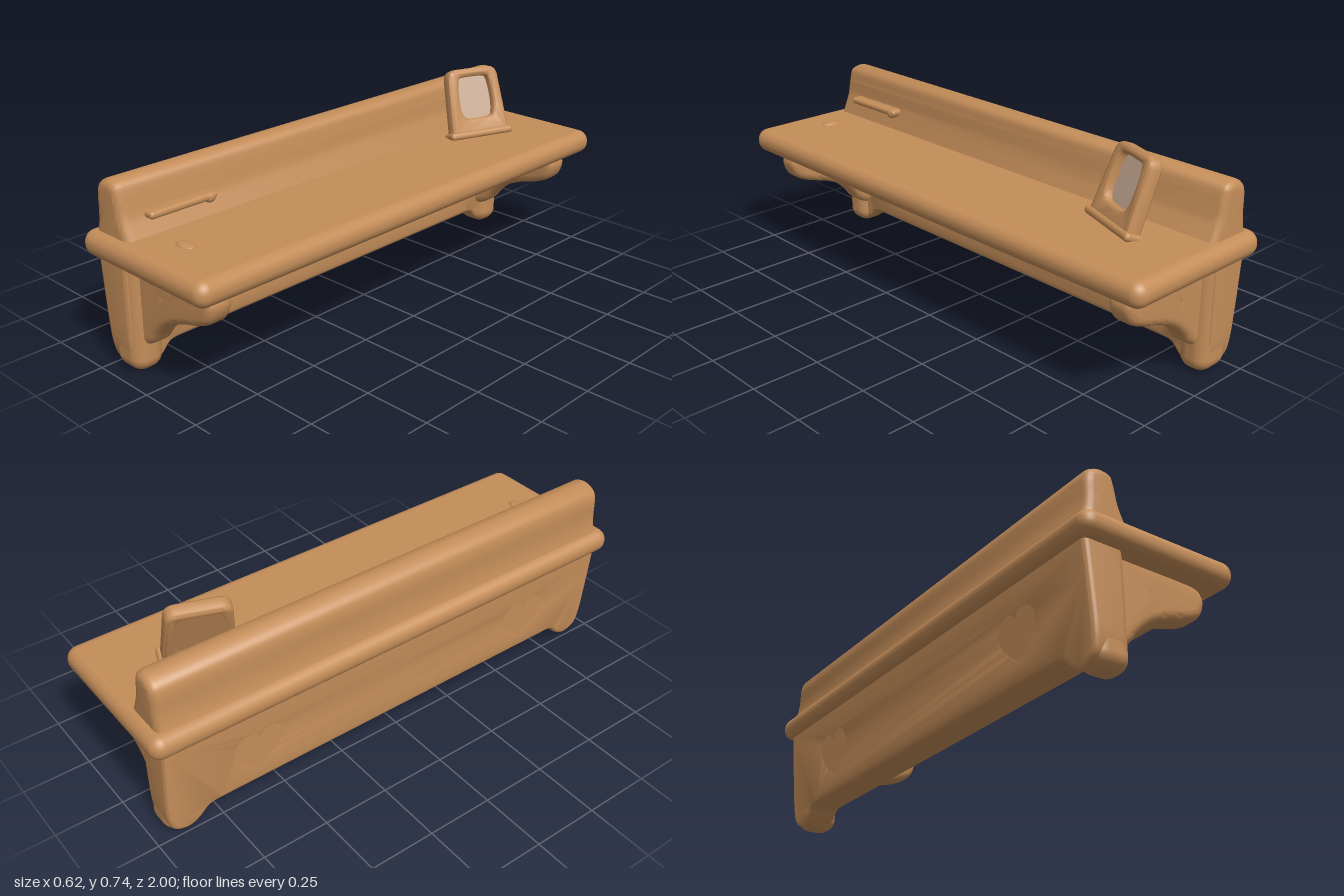
import * as THREE from 'three';
import { toCreasedNormals } from 'three/addons/utils/BufferGeometryUtils.js';
import { RoundedBoxGeometry } from 'three/addons/geometries/RoundedBoxGeometry.js';

const wood = new THREE.MeshStandardMaterial({ color: 0xc48d59 });
wood.name = 'wood';
const pane = new THREE.MeshStandardMaterial({ color: 0xc9aa92 });
pane.name = 'pale pane';

const smoothPath = (pts) =>
  new THREE.SplineCurve(pts.map(([x, y]) => new THREE.Vector2(x, y))).getPoints(pts.length * 4);

// Extrusion centred on its depth, with soft bevels kept inside the outline
function softExtrude(shape, depth, bevel) {
  const geo = new THREE.ExtrudeGeometry(shape, {
    depth: depth - 2 * bevel, bevelThickness: bevel, bevelSize: bevel,
    bevelOffset: -bevel, bevelSegments: 5, curveSegments: 10,
  });
  geo.translate(0, 0, bevel - depth / 2);
  return toCreasedNormals(geo, 0.75);
}

// The rear of the back board slopes forward towards the feet
function slopeRear(geo) {
  const p = geo.attributes.position;
  for (let i = 0; i < p.count; i++) {
    if (p.getX(i) < -0.2) p.setX(i, p.getX(i) + (0.4 - p.getY(i)) * 0.085);
  }
  return geo;
}

function heartPath(cx) {
  const h = new THREE.Path();
  h.moveTo(cx, 0.152);
  h.bezierCurveTo(cx + 0.03, 0.18, cx + 0.085, 0.215, cx + 0.082, 0.255);
  h.bezierCurveTo(cx + 0.078, 0.305, cx + 0.02, 0.305, cx, 0.265);
  h.bezierCurveTo(cx - 0.02, 0.305, cx - 0.078, 0.305, cx - 0.082, 0.255);
  h.bezierCurveTo(cx - 0.085, 0.215, cx - 0.03, 0.18, cx, 0.152);
  return h;
}

export function createModel() {
  const root = new THREE.Group();
  root.name = 'wallShelf';
  const add = (name, geo, parent = root, mat = wood) => {
    const m = new THREE.Mesh(geo, mat);
    m.name = name;
    parent.add(m);
    return m;
  };
  const box = (w, h, d, r) => new RoundedBoxGeometry(w, h, d, 5, r);

  // Shelf top
  add('shelfTop', box(0.62, 0.092, 2, 0.044)).position.y = 0.441;

  // Raised rail along the back
  const rail = new THREE.Shape(smoothPath([
    [-0.085, 0.46], [-0.108, 0.51], [-0.128, 0.56], [-0.14, 0.62], [-0.155, 0.662], [-0.2, 0.674],
    [-0.245, 0.656], [-0.261, 0.62], [-0.264, 0.55], [-0.272, 0.5], [-0.285, 0.46],
  ]));
  add('upperRail', softExtrude(rail, 1.92, 0.03));

  // Lower back board with heart recesses and a dip between the feet
  const half = [[0.72, 0.07], [0.79, 0.066], [0.83, 0.03], [0.875, 0.008], [0.93, 0.025], [0.952, 0.08], [0.957, 0.2], [0.957, 0.43]];
  const right = smoothPath(half);
  const left = right.map((p) => new THREE.Vector2(-p.x, p.y)).reverse();
  const board = new THREE.Shape([...right, ...left]);
  board.holes.push(heartPath(0.6), heartPath(-0.6));
  const boardGeo = softExtrude(board, 0.15, 0.018);
  boardGeo.rotateY(Math.PI / 2).translate(-0.205, 0, 0);
  add('backBoard', slopeRear(boardGeo));

  // Side bracket outline with a round hole
  const bracket = new THREE.Shape(smoothPath([
    [-0.16, 0.42], [0.1, 0.42], [0.21, 0.405], [0.24, 0.38], [0.245, 0.345], [0.222, 0.3], [0.17, 0.272],
    [0.08, 0.245], [0.01, 0.212], [-0.045, 0.165], [-0.08, 0.122], [-0.12, 0.1], [-0.16, 0.1],
  ]));
  const hole = new THREE.Path();
  hole.absarc(0, 0.315, 0.024, 0, Math.PI * 2, true);
  bracket.holes.push(hole);
  const bracketGeo = softExtrude(bracket, 0.1, 0.03);

  for (const s of [-1, 1]) {
    const side = s > 0 ? 'front' : 'rear';
    add(side + 'Bracket', bracketGeo).position.z = s * 0.87;

    // End post and foot
    const post = box(0.172, 0.43, 0.12, 0.05);
    post.translate(-0.191, 0.216, s * 0.893);
    add(side + 'Post', slopeRear(post));

    // Floor of the heart recess
    const floor = new THREE.BoxGeometry(0.07, 0.22, 0.25);
    floor.translate(-0.2445, 0.225, s * 0.6);
    add(side + 'HeartFloor', slopeRear(floor));
    const spot = new THREE.CylinderGeometry(0.042, 0.042, 0.004, 16).rotateZ(Math.PI / 2);
    add(side + 'HeartPane', spot, root, pane).position.set(-0.193, 0.21, s * 0.6);
  }

  // Small stick resting against the rail, and a low bump on the shelf
  add('stick', box(0.05, 0.026, 0.27, 0.012)).position.set(-0.114, 0.552, 0.735);
  add('stickKnob', box(0.06, 0.036, 0.04, 0.016)).position.set(-0.117, 0.548, 0.625);
  const bump = add('shelfBump', new THREE.SphereGeometry(1, 16, 10));
  bump.scale.set(0.042, 0.01, 0.025);
  bump.position.set(0.04, 0.486, 0.84);

  // Leaning picture frame
  const frame = new THREE.Group();
  frame.name = 'pictureFrame';
  frame.rotation.set(-0.36, 1.22, 0, 'YXZ');
  frame.position.set(0.02, 0.47, -0.642);
  root.add(frame);

  const outline = new THREE.Shape();
  outline.moveTo(-0.128, 0);
  outline.lineTo(0.128, 0);
  outline.lineTo(0.112, 0.245);
  outline.quadraticCurveTo(0.108, 0.278, 0.075, 0.282);
  outline.lineTo(-0.075, 0.282);
  outline.quadraticCurveTo(-0.108, 0.278, -0.112, 0.245);
  outline.closePath();
  const opening = new THREE.Path(smoothPath([
    [-0.05, 0.085], [0.05, 0.085], [0.07, 0.11], [0.074, 0.17], [0.066, 0.235], [0.045, 0.248],
    [-0.045, 0.248], [-0.066, 0.235], [-0.074, 0.17], [-0.07, 0.11], [-0.05, 0.085],
  ]).slice(0, -1));
  outline.holes.push(opening);
  add('frameBorder', softExtrude(outline, 0.056, 0.014), frame);
  add('frameBack', new THREE.BoxGeometry(0.182, 0.2, 0.02), frame).position.set(0, 0.166, -0.0175);
  add('framePane', new THREE.BoxGeometry(0.16, 0.178, 0.006), frame, pane).position.set(0, 0.166, -0.005);
  // Foot of the frame where it meets the shelf
  add('frameFoot', box(0.28, 0.03, 0.075, 0.014), frame).position.set(0, 0.022, 0);

  return root;
}
